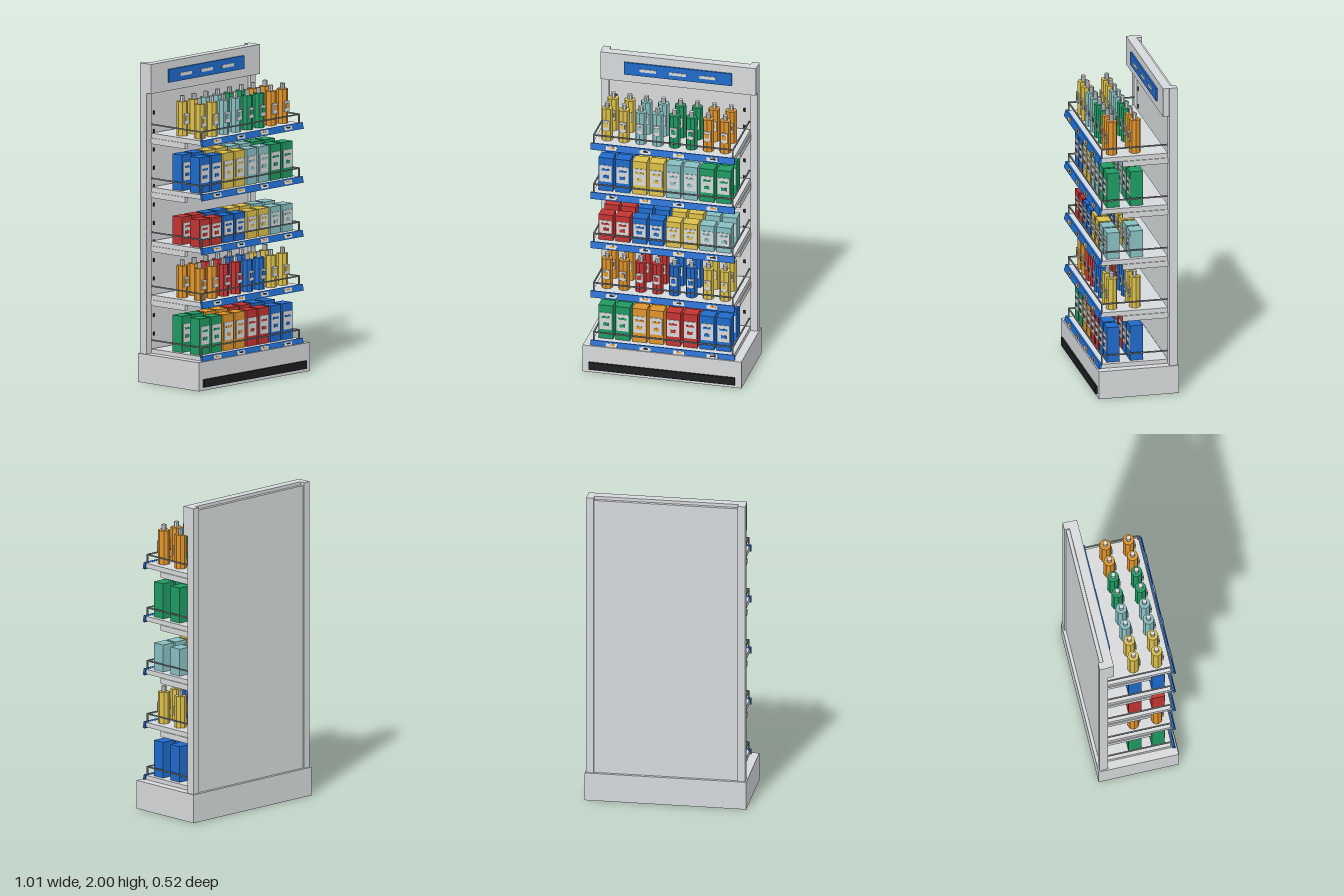
import * as THREE from 'three';

const mat = (name, color) => {
  const m = new THREE.MeshStandardMaterial({ color });
  m.name = name;
  return m;
};
const M = {
  metal: mat('light grey metal', 0xd6d9db),
  rail: mat('rail grey', 0x85898d),
  dark: mat('black', 0x1d1e20),
  blue: mat('blue', 0x1f6bcb),
  yellow: mat('yellow', 0xdcc04c),
  teal: mat('teal', 0x88c0c2),
  green: mat('green', 0x1f9a62),
  orange: mat('orange', 0xe0942c),
  red: mat('red', 0xc23432),
};
const PRODUCT_COLOURS = [M.yellow, M.teal, M.green, M.orange, M.red, M.blue];

function add(parent, name, geometry, material, x = 0, y = 0, z = 0) {
  const mesh = new THREE.Mesh(geometry, material);
  mesh.name = name;
  mesh.position.set(x, y, z);
  parent.add(mesh);
  return mesh;
}

// Box given by its centre and size
const box = (parent, name, material, w, h, d, x, y, z) =>
  add(parent, name, new THREE.BoxGeometry(w, h, d), material, x, y, z);

// Faceted upright cylinder standing on y
function prism(parent, name, material, r, h, y) {
  const geo = new THREE.CylinderGeometry(r, r, h, 8).toNonIndexed();
  geo.computeVertexNormals();
  return add(parent, name, geo, material, 0, y + h / 2, 0);
}

function group(parent, name, x = 0, y = 0, z = 0) {
  const g = new THREE.Group();
  g.name = name;
  g.position.set(x, y, z);
  parent.add(g);
  return g;
}

// Bottle with neck and front label
function bottle(parent, material, h, x, y, z) {
  const g = group(parent, 'bottle', x, y, z);
  prism(g, 'bottleBody', material, 0.036, h, 0);
  prism(g, 'bottleNeck', M.metal, 0.015, 0.035, h);
  box(g, 'bottleLabel', M.metal, 0.045, h * 0.31, 0.006, 0, h * 0.5, 0.037);
  box(g, 'bottleMark', material, 0.028, 0.03, 0.004, 0, h * 0.52, 0.041);
}

// Carton with front label
function carton(parent, material, h, x, y, z) {
  const g = group(parent, 'carton', x, y, z);
  box(g, 'cartonBody', material, 0.092, h, 0.082, 0, h / 2, 0);
  box(g, 'cartonLabel', M.metal, 0.076, h * 0.5, 0.005, 0, h * 0.53, 0.042);
  box(g, 'cartonBar', material, 0.05, 0.012, 0.003, 0, h * 0.65, 0.0455);
  box(g, 'cartonSquare', material, 0.034, 0.02, 0.003, 0, h * 0.44, 0.0455);
}

function shelf(parent, level, y) {
  const g = group(parent, 'shelf', 0, y, 0);
  box(g, 'shelfBoard', M.metal, 0.9, 0.03, 0.42, 0, -0.015, 0.01);

  // Brackets and guard rail
  for (const s of [-1, 1]) {
    if (level > 0) box(g, 'bracket', M.metal, 0.026, 0.036, 0.287, s * 0.443, -0.048, -0.0565);
    box(g, 'sideRail', M.rail, 0.008, 0.008, 0.42, s * 0.443, 0.054, 0.01);
    box(g, 'railPost', M.rail, 0.008, 0.054, 0.008, s * 0.443, 0.027, 0.216);
  }
  box(g, 'frontRail', M.rail, 0.894, 0.008, 0.008, 0, 0.054, 0.216);

  // Tilted price strip with tags
  const strip = group(g, 'priceStrip', 0, -0.017, 0.23);
  strip.rotation.x = -0.25;
  box(strip, 'stripPlate', M.blue, 0.916, 0.042, 0.016, 0, 0, 0);
  for (let i = 0; i < 4; i++) {
    const x = -0.325 + i * 0.214;
    box(strip, 'priceTag', M.metal, 0.07, 0.024, 0.004, x, 0, 0.01);
    box(strip, 'tagMark', (i + level) % 2 ? M.dark : M.orange, 0.032, 0.01, 0.003, x + 0.004, 0.002, 0.0125);
  }
}

export function createModel() {
  const root = new THREE.Group();
  root.name = 'shopShelfDisplay';

  // Base and kick plate
  box(root, 'base', M.metal, 1.01, 0.18, 0.51, 0, 0.09, -0.005);
  box(root, 'kickPlate', M.dark, 0.93, 0.05, 0.012, 0, 0.045, 0.255);

  // Back panel and uprights
  box(root, 'backPanel', M.metal, 0.91, 1.8, 0.022, 0, 1.08, -0.229);
  for (const s of [-1, 1]) {
    box(root, 'upright', M.metal, 0.047, 1.82, 0.052, s * 0.4735, 1.09, -0.225);
    for (let k = 0; k < 13; k++)
      box(root, 'slot', M.dark, 0.014, 0.024, 0.004, s * 0.407, 0.295 + k * 0.1155, -0.2165);
  }

  // Header with sign
  box(root, 'header', M.metal, 0.99, 0.185, 0.058, 0, 1.9075, -0.189);
  box(root, 'signPlate', M.blue, 0.684, 0.083, 0.01, 0, 1.909, -0.155);
  for (const x of [-0.19, 0, 0.19])
    box(root, 'signDash', M.metal, 0.106, 0.02, 0.004, x, 1.907, -0.148);

  // Shelves stocked with two rows of eight products
  const heights = [0.227, 0.2, 0.172, 0.224, 0.215];
  heights.forEach((h, level) => {
    const y = 0.207 + level * 0.338;
    shelf(root, level, y);
    const make = level === 1 || level === 4 ? bottle : carton;
    for (const z of [-0.009, 0.139])
      for (let i = 0; i < 8; i++) {
        const colour = PRODUCT_COLOURS[(2 + level + Math.floor(i / 2)) % 6];
        make(root, colour, h, -0.3755 + i * 0.1073, y, z);
      }
  });
  return root;
}
